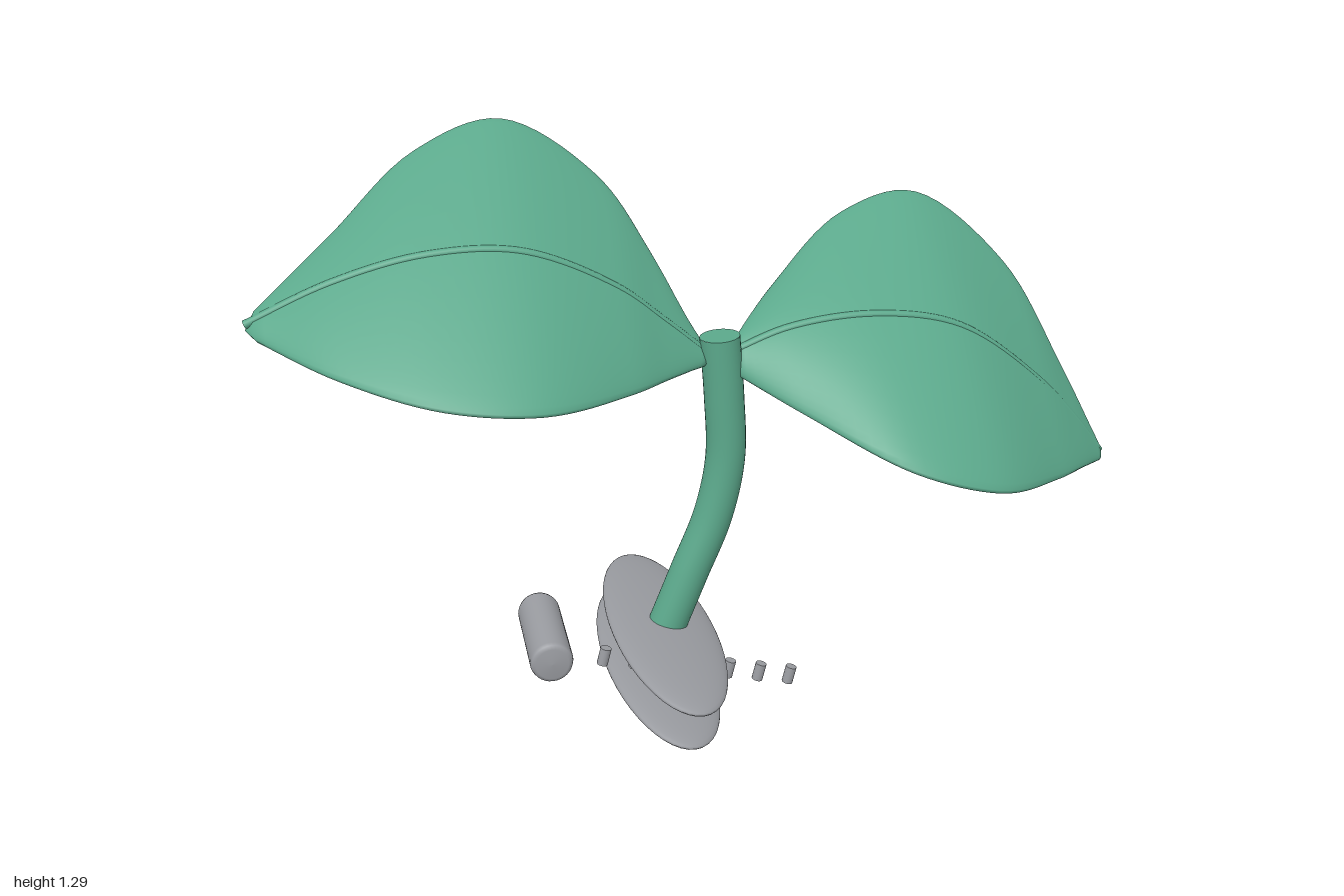
import * as THREE from 'three';

const green = new THREE.MeshStandardMaterial({ color: 0x5ba88b });
green.name = 'leaf green';
const grey = new THREE.MeshStandardMaterial({ color: 0x9a9ca1 });
grey.name = 'metal grey';

const TILT = -0.24; // lean of the base about z
const vec = (p) => new THREE.Vector3(...p);
const curve = (pts) => new THREE.CatmullRomCurve3(pts.map(vec));

function part(name, geometry, material, position = [0, 0, 0]) {
  const mesh = new THREE.Mesh(geometry, material);
  mesh.name = name;
  mesh.position.set(...position);
  return mesh;
}

// Tube with flat discs closing both ends
function cappedTube(name, path, radius, steps, sides, material) {
  const group = new THREE.Group();
  group.name = name;
  group.add(part(name + 'Body', new THREE.TubeGeometry(path, steps, radius, sides), material));
  for (const t of [0, 1]) {
    const cap = part(name + 'Cap', new THREE.CircleGeometry(radius, sides), material);
    const out = path.getTangent(t).multiplyScalar(t ? 1 : -1);
    cap.position.copy(path.getPoint(t));
    cap.quaternion.setFromUnitVectors(new THREE.Vector3(0, 0, 1), out);
    group.add(cap);
  }
  return group;
}

// Thin blade with rounded rims, lofted through back rim, midrib and front rim
function leafBlade(back, mid, front, thickness) {
  const rows = 48, sides = 40, pos = [], index = [];
  const surface = (t, u) => {
    const p = mid.getPoint(t).multiplyScalar(1 - u * u);
    p.addScaledVector(back.getPoint(t), (u * u + u) / 2);
    return p.addScaledVector(front.getPoint(t), (u * u - u) / 2);
  };
  for (let i = 0; i <= rows; i++) {
    const t = i / rows, c = Math.min(0.97, Math.max(0.03, t));
    const closed = i === 0 || i === rows;
    for (let j = 0; j < sides; j++) {
      const a = (j / sides) * Math.PI * 2, s = Math.sin(a);
      const u = closed ? 0 : Math.cos(a);
      const along = surface(c + 0.02, u).sub(surface(c - 0.02, u));
      const across = surface(c, u - 0.05).sub(surface(c, u + 0.05));
      const n = across.cross(along).normalize();
      const h = closed ? 0 : thickness * Math.sign(s) * Math.pow(Math.abs(s), 0.6);
      pos.push(...surface(t, u).addScaledVector(n, h).toArray());
      if (i < rows) {
        const k = i * sides + j, l = i * sides + ((j + 1) % sides);
        index.push(k, l, k + sides, l, l + sides, k + sides);
      }
    }
  }
  const g = new THREE.BufferGeometry();
  g.setAttribute('position', new THREE.Float32BufferAttribute(pos, 3));
  g.setIndex(index);
  g.computeVertexNormals();
  return g;
}

function leaf(name, back, mid, front) {
  const group = new THREE.Group();
  group.name = name;
  group.add(part(name + 'Blade', leafBlade(curve(back), curve(mid), curve(front), 0.015), green));
  const ribPath = curve(mid.map(([x, y, z]) => [x, y + 0.012, z]));
  group.add(cappedTube(name + 'Midrib', ribPath, 0.01, 48, 10, green));
  return group;
}

export function createModel() {
  const model = new THREE.Group();
  model.name = 'sprout';

  // Curved stem with flat top
  const stemPath = curve([
    [-0.1, 0.13, 0], [-0.04, 0.28, 0], [0.02, 0.43, -0.002],
    [0.048, 0.57, -0.004], [0.045, 0.72, -0.006], [0.035, 0.865, -0.008],
  ]);
  model.add(cappedTube('stem', stemPath, 0.046, 48, 28, green));

  // Right leaf (-x), from tip to stem
  model.add(leaf('rightLeaf',
    [[-0.99, 0.965, -0.02], [-0.8, 1.1, -0.165], [-0.6, 1.245, -0.315], [-0.4, 1.298, -0.365],
      [-0.2, 1.18, -0.285], [-0.1, 1.03, -0.165], [-0.01, 0.83, -0.02]],
    [[-0.99, 0.955, -0.01], [-0.8, 1.035, -0.01], [-0.6, 1.082, -0.01], [-0.4, 1.076, -0.01],
      [-0.2, 0.985, -0.01], [-0.1, 0.905, -0.01], [0.01, 0.81, -0.01]],
    [[-0.99, 0.945, 0], [-0.8, 0.9, 0.195], [-0.6, 0.86, 0.305], [-0.4, 0.835, 0.31],
      [-0.2, 0.817, 0.185], [-0.1, 0.81, 0.095], [0, 0.8, 0]]));

  // Left leaf (+x), from stem to tip
  model.add(leaf('leftLeaf',
    [[0.06, 0.83, -0.02], [0.2, 0.925, -0.165], [0.4, 1.043, -0.315], [0.6, 1.07, -0.365],
      [0.8, 0.91, -0.265], [0.9, 0.7, -0.13], [0.98, 0.5, -0.02]],
    [[0.06, 0.81, -0.01], [0.2, 0.86, -0.01], [0.4, 0.876, -0.01], [0.6, 0.835, -0.01],
      [0.8, 0.69, -0.01], [0.9, 0.585, -0.01], [0.98, 0.485, -0.01]],
    [[0.06, 0.78, 0], [0.2, 0.715, 0.135], [0.4, 0.63, 0.305], [0.6, 0.565, 0.31],
      [0.8, 0.518, 0.17], [0.9, 0.498, 0.08], [0.98, 0.475, 0]]));

  // Two flattened oval discs under the stem
  [['upperDisc', -0.102, 0.135], ['lowerDisc', -0.12, 0.052]].forEach(([name, x, y]) => {
    const disc = part(name, new THREE.SphereGeometry(1, 48, 24), grey, [x, y, 0]);
    disc.scale.set(0.135, 0.027, 0.39);
    disc.rotation.z = TILT;
    model.add(disc);
  });

  // Row of small pegs
  for (let i = 0; i < 7; i++) {
    const peg = part('peg', new THREE.CylinderGeometry(0.013, 0.013, 0.042, 16), grey,
      [-0.26 + i * 0.0742, 0.135 - i * 0.0175, 0.094]);
    peg.rotation.z = TILT;
    model.add(peg);
  }

  // Roller with softened ends, lying along z
  const profile = [[0, -0.135], [0.038, -0.133], [0.047, -0.128], [0.05, -0.118],
    [0.05, 0.118], [0.047, 0.128], [0.038, 0.133], [0, 0.135]];
  const roller = part('roller',
    new THREE.LatheGeometry(profile.map(([r, y]) => new THREE.Vector2(r, y)), 32),
    grey, [-0.385, 0.15, 0]);
  roller.rotation.x = Math.PI / 2;
  model.add(roller);

  return model;
}
